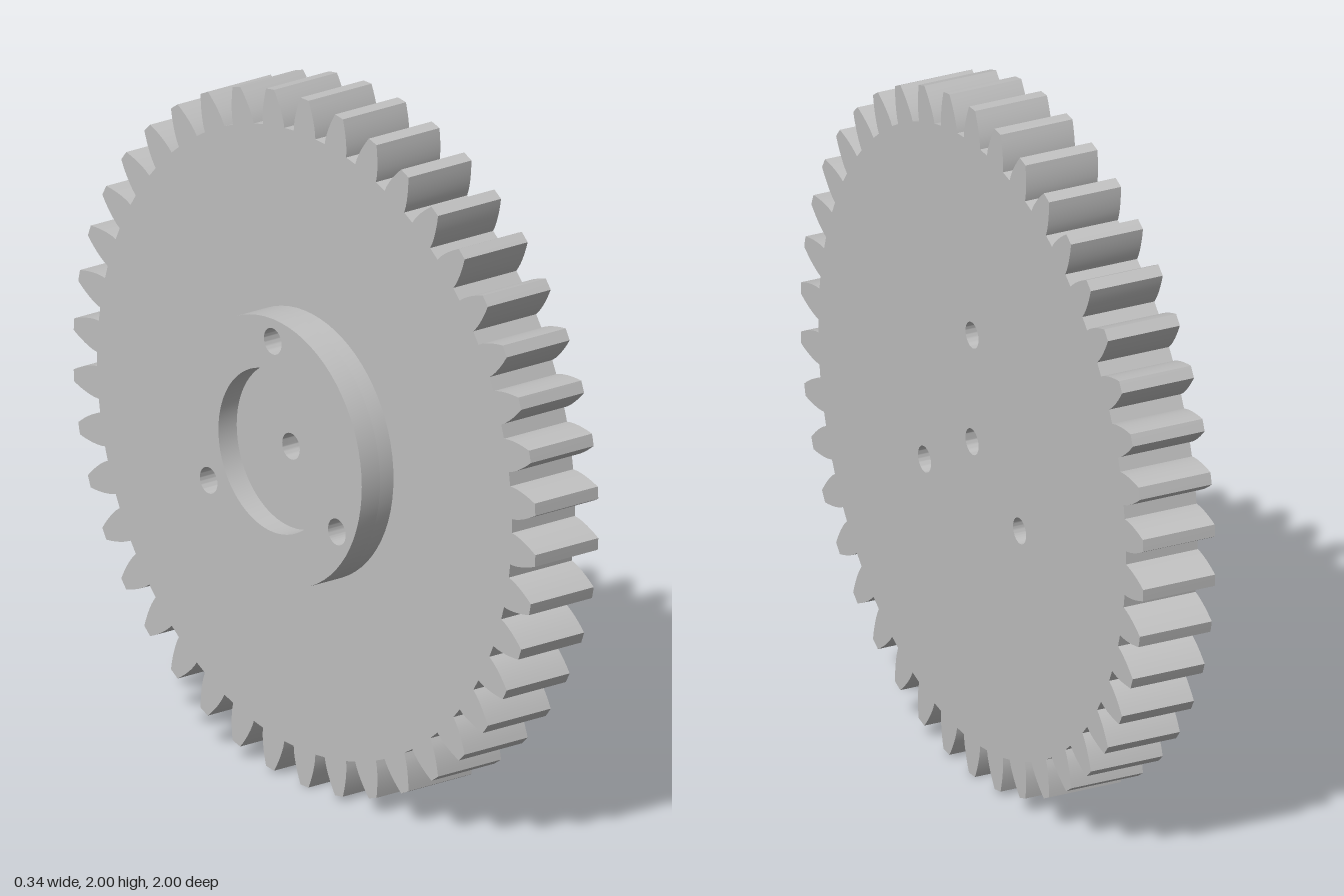
import * as THREE from 'three';
import { toCreasedNormals } from 'three/addons/utils/BufferGeometryUtils.js';

const TEETH = 42;
const PITCH_R = 0.9545, BASE_R = 0.897, TIP_R = 1;
const HOLE_R = 0.038, BOLT_R = 0.32;
const HUB_R = 0.385, RECESS_R = 0.235;
// positions along the axle: hub face, recess floor, gear back, gear front
const X_HUB = -0.17, X_FLOOR = -0.105, X_BACK = -0.057, X_FRONT = 0.167;

const involute = (r) => {
  const a = Math.acos(Math.min(1, BASE_R / r));
  return Math.tan(a) - a;
};

// half of the angle one tooth spans at radius r
const halfAngle = (r) => Math.PI / (2 * TEETH) + involute(PITCH_R) - involute(r);

function circle(shapeClass, x, y, r) {
  const c = new shapeClass();
  c.absarc(x, y, r, 0, Math.PI * 2, false);
  return c;
}

// outline of the toothed wheel, with one tooth pointing straight up
function gearShape() {
  const points = [];
  const add = (r, a) => points.push(new THREE.Vector2(r * Math.cos(a), r * Math.sin(a)));
  const steps = 6;
  for (let i = 0; i < TEETH; i++) {
    const mid = Math.PI / 2 + (i / TEETH) * Math.PI * 2;
    for (let s = 0; s <= steps; s++) {
      const r = BASE_R + (TIP_R - BASE_R) * (s / steps);
      add(r, mid - halfAngle(r));
    }
    add(TIP_R, mid);
    for (let s = steps; s >= 0; s--) {
      const r = BASE_R + (TIP_R - BASE_R) * (s / steps);
      add(r, mid + halfAngle(r));
    }
  }
  return new THREE.Shape(points);
}

// three bolt holes around the axle
function addBoltHoles(shape) {
  for (let i = 0; i < 3; i++) {
    const a = Math.PI / 2 + (i * Math.PI * 2) / 3;
    shape.holes.push(circle(THREE.Path, BOLT_R * Math.cos(a), BOLT_R * Math.sin(a), HOLE_R));
  }
  return shape;
}

function addCentreHole(shape, r) {
  shape.holes.push(circle(THREE.Path, 0, 0, r));
  return shape;
}

// extrude a shape along the axle from x0 to x1
function slab(name, shape, x0, x1, material) {
  const extruded = new THREE.ExtrudeGeometry(shape, {
    depth: x1 - x0, bevelEnabled: false, curveSegments: 36,
  });
  const geometry = toCreasedNormals(extruded, 0.5);
  geometry.clearGroups();
  geometry.translate(0, 0, x0);
  geometry.rotateY(Math.PI / 2);
  const mesh = new THREE.Mesh(geometry, material);
  mesh.name = name;
  mesh.position.y = 1;
  return mesh;
}

export function createModel() {
  const metal = new THREE.MeshStandardMaterial({ color: 0xc0c0c0 });
  metal.name = 'light grey';

  const group = new THREE.Group();
  group.name = 'spurGear';

  // toothed wheel
  const wheel = addCentreHole(addBoltHoles(gearShape()), HOLE_R);
  group.add(slab('toothedWheel', wheel, X_BACK, X_FRONT, metal));

  // hub: a floor plate and a raised ring around the recess
  const floor = addCentreHole(addBoltHoles(circle(THREE.Shape, 0, 0, HUB_R)), HOLE_R);
  group.add(slab('hubFloor', floor, X_FLOOR, X_BACK, metal));

  const ring = addCentreHole(addBoltHoles(circle(THREE.Shape, 0, 0, HUB_R)), RECESS_R);
  group.add(slab('hubRing', ring, X_HUB, X_FLOOR, metal));

  return group;
}
